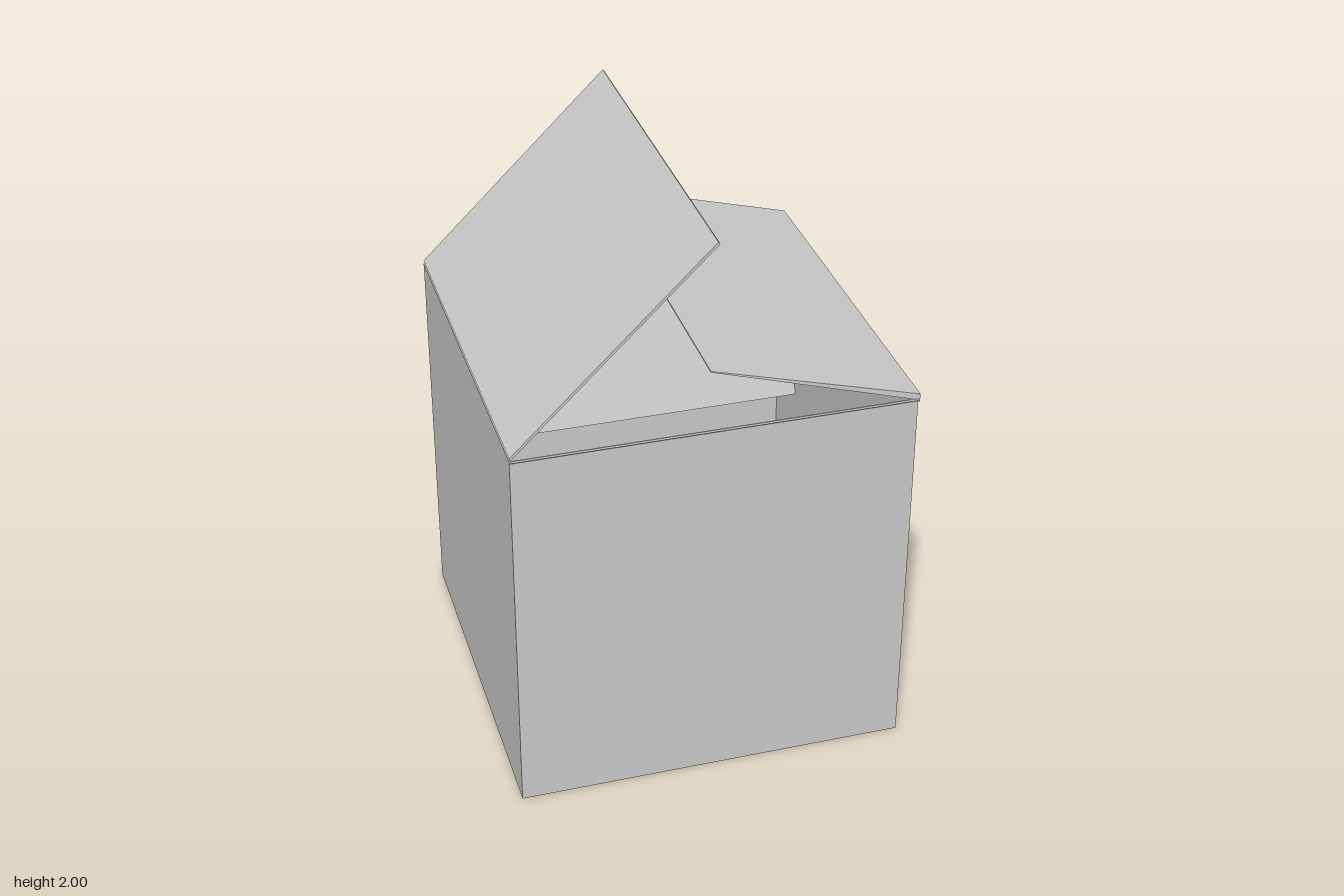
import * as THREE from 'three';

const material = new THREE.MeshStandardMaterial({ color: 0xcccccc, flatShading: true, side: THREE.DoubleSide });

// Thin card panel: four outer corners (counter-clockwise from outside),
// with its thickness at the first edge and at the opposite edge.
function panel(name, corners, t0 = 0.005, t1 = t0) {
  const outer = corners.map((c) => new THREE.Vector3(...c));
  const n = outer[1].clone().sub(outer[0]).cross(outer[3].clone().sub(outer[0])).normalize();
  const inner = outer.map((p, i) => p.clone().addScaledVector(n, i < 2 ? -t0 : -t1));
  const pts = [...outer, ...inner];
  const quads = [[0, 1, 2, 3], [7, 6, 5, 4]];
  for (let i = 0; i < 4; i++) {
    const j = (i + 1) % 4;
    quads.push([i, i + 4, j + 4, j]);
  }
  const positions = [];
  for (const [a, b, c, d] of quads) {
    for (const k of [a, b, c, a, c, d]) positions.push(...pts[k].toArray());
  }
  const geometry = new THREE.BufferGeometry();
  geometry.setAttribute('position', new THREE.Float32BufferAttribute(positions, 3));
  geometry.computeVertexNormals();
  const mesh = new THREE.Mesh(geometry, material);
  mesh.name = name;
  return mesh;
}

export function createModel() {
  const model = new THREE.Group();
  model.name = 'openCarton';
  const L = -0.672, R = 0.664, F = 0.7, B = -0.637, H = 1.345;

  // Four walls around the footprint
  const footprint = [[L, F], [R, F], [R, B], [L, B]];
  ['frontWall', 'leftWall', 'backWall', 'rightWall'].forEach((name, i) => {
    const [x0, z0] = footprint[i];
    const [x1, z1] = footprint[(i + 1) % 4];
    model.add(panel(name, [[x0, 0, z0], [x1, 0, z1], [x1, H, z1], [x0, H, z0]]));
  });

  // Floor
  model.add(panel('floor', [[L, 0, B], [R, 0, B], [R, 0, F], [L, 0, F]]));

  // Raised flap
  model.add(panel('raisedFlap', [[L, 1.357, B], [L, 1.357, F], [-0.01, 2, 0.692], [-0.01, 2, -0.643]], 0.009));

  // Skewed, nearly closed flap, thicker at its folded edge
  model.add(panel('skewedFlap', [[0.669, 1.363, F], [0.669, 1.363, -0.643], [-0.01, 1.522, -0.7], [-0.01, 1.522, 0.637]], 0.022, 0.004));

  // Short lip along the fold
  model.add(panel('foldLip', [[0.67, 1.335, F], [0.67, 1.335, -0.64], [0.67, 1.363, -0.643], [0.67, 1.363, F]], 0.006));

  // Two flaps folded down inside the carton
  model.add(panel('backInnerFlap', [[R, H, B], [L, H, B], [L, H - 0.64, B + 0.21], [R, H - 0.64, B + 0.21]]));
  model.add(panel('frontInnerFlap', [[L, H, F], [R, H, F], [R, H - 0.5, F - 0.455], [L, H - 0.5, F - 0.455]]));

  return model;
}
